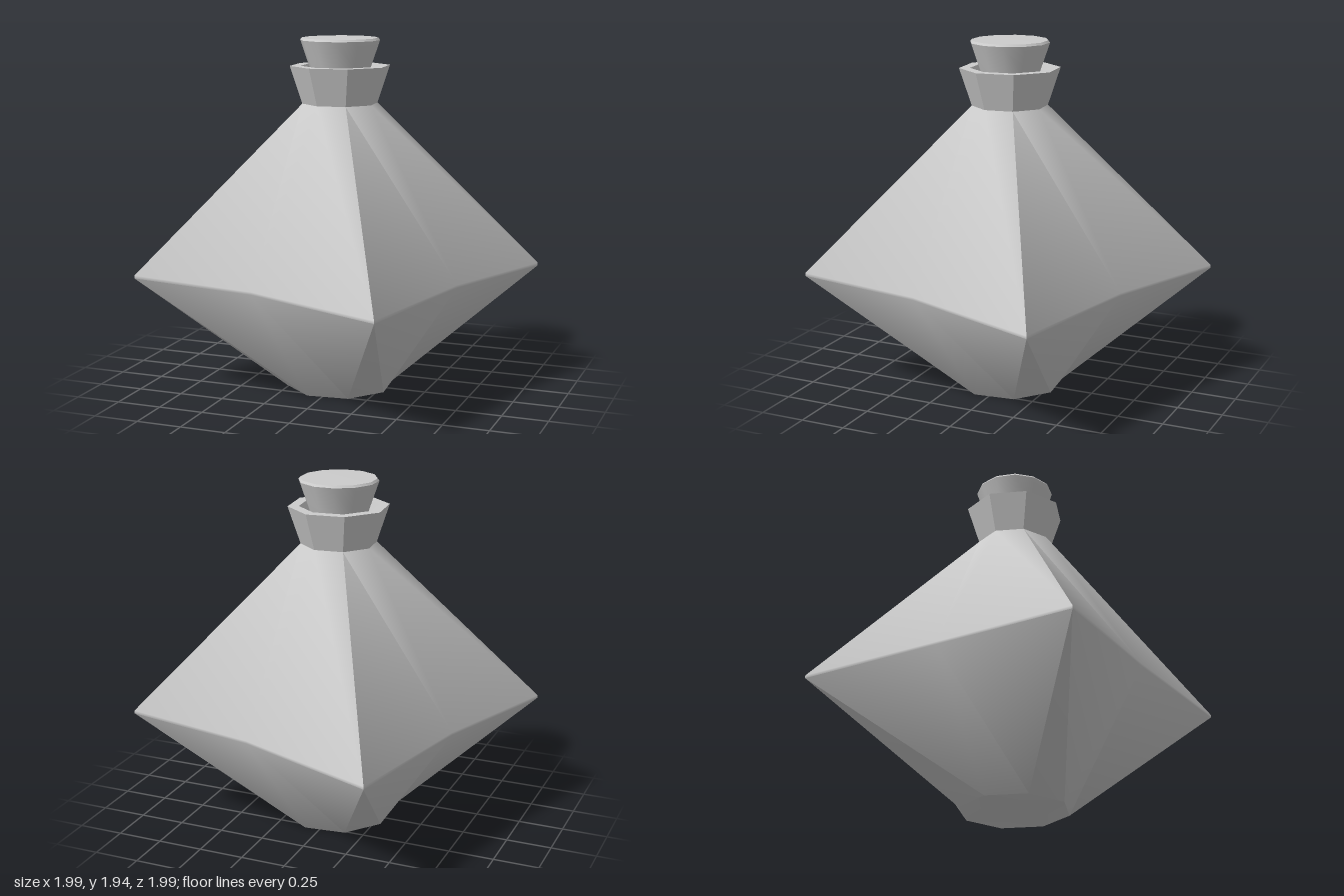
import * as THREE from 'three';
import { toCreasedNormals } from 'three/addons/utils/BufferGeometryUtils.js';

// Lofts rings [y, radius at even points, radius at odd points, y of odd points] from outer bottom to top
function loft(rings, sides, startAngle, crease) {
  const point = (ring, j) => {
    const [y, even, odd = even, yOdd = y] = ring;
    const k = j % sides;
    const a = startAngle + (k / sides) * Math.PI * 2;
    const r = k % 2 ? odd : even;
    return [r * Math.cos(a), k % 2 ? yOdd : y, r * Math.sin(a)];
  };
  const pos = [];
  for (let i = 0; i < rings.length - 1; i++) {
    for (let j = 0; j < sides; j++) {
      const a = point(rings[i], j), b = point(rings[i], j + 1);
      const c = point(rings[i + 1], j + 1), d = point(rings[i + 1], j);
      // Skip the empty half of a quad at a centre point
      if (rings[i + 1][1] > 0) pos.push(...a, ...d, ...c);
      if (rings[i][1] > 0) {
        if (rings[i + 1][1] > 0) pos.push(...a, ...c, ...b);
        else pos.push(...a, ...d, ...b);
      }
    }
  }
  const geo = new THREE.BufferGeometry();
  geo.setAttribute('position', new THREE.Float32BufferAttribute(pos, 3));
  return toCreasedNormals(geo, crease);
}

export function createModel() {
  const group = new THREE.Group();
  const material = new THREE.MeshStandardMaterial({ color: 0xcccccc });
  const add = (name, geo) => {
    const mesh = new THREE.Mesh(geo, material);
    mesh.name = name;
    group.add(mesh);
  };
  const turn = THREE.MathUtils.degToRad(61.2);

  // Four-cornered body rising from an eight-sided foot to the neck
  add('body', loft([
    [0, 0],
    [0, 0.3],
    [0.642, 1.135, 0.767, 0.66],
    [0.658, 1.135, 0.767, 0.675],
    [1.585, 0.207],
  ], 8, turn, 0.87));

  // Flared octagonal lip with a hollow mouth
  add('lip', loft([
    [1.585, 0.207],
    [1.79, 0.275],
    [1.79, 0.215],
    [1.62, 0.15],
    [1.62, 0],
  ], 8, turn, 0.7));

  // Tapered stopper with a small bevel at the top
  add('stopper', loft([
    [1.64, 0],
    [1.64, 0.118],
    [1.79, 0.17],
    [1.928, 0.217],
    [1.94, 0.208],
    [1.942, 0],
  ], 12, 0.25, 0.9));

  return group;
}
